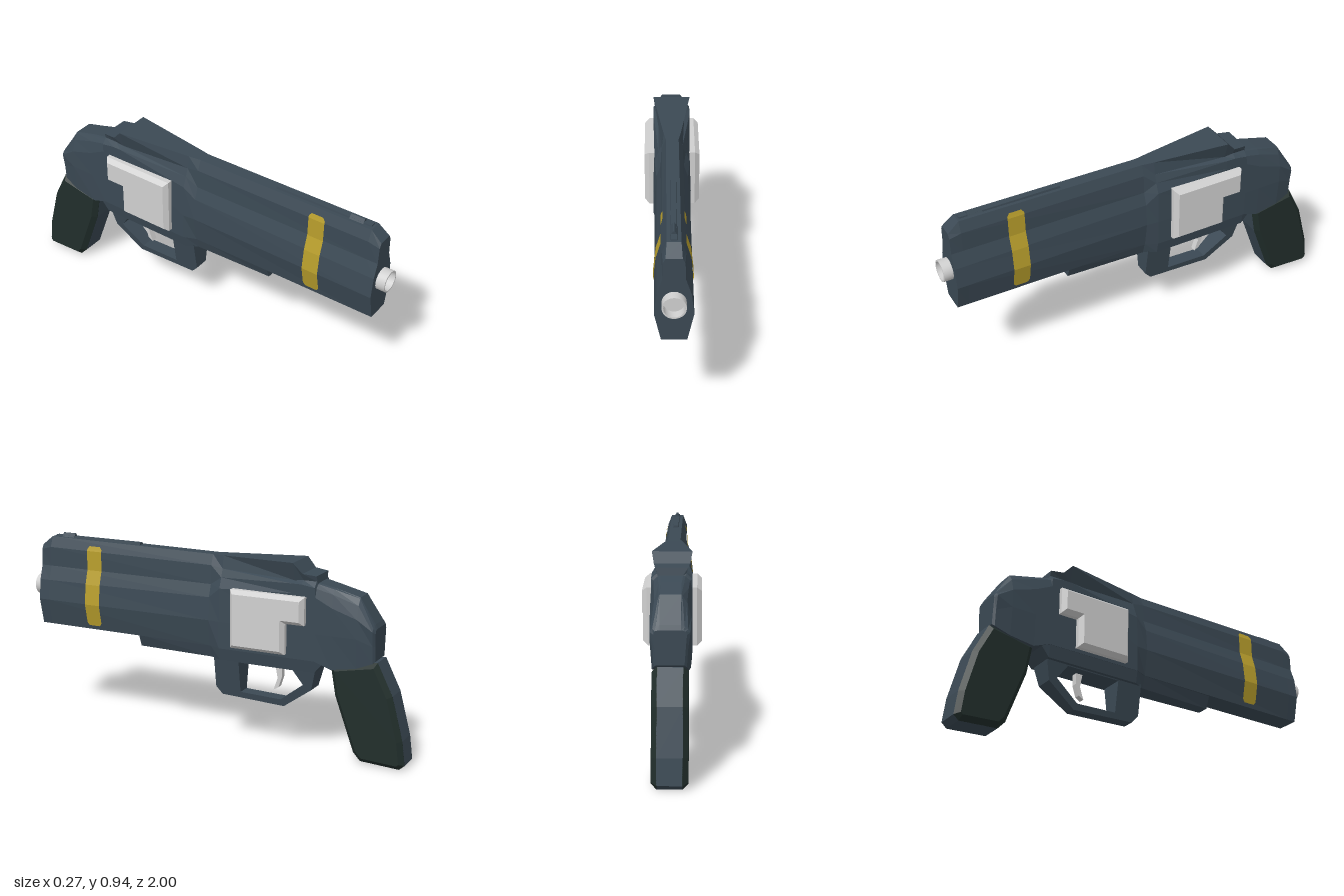
import * as THREE from 'three';
import { toCreasedNormals } from 'three/addons/utils/BufferGeometryUtils.js';

function material(name, color, side = THREE.FrontSide) {
  const m = new THREE.MeshStandardMaterial({ color, side });
  m.name = name;
  return m;
}

// Flat-faced loft: each section is [z, [halfWidth, y] from top to bottom], front to back
function loft(sections) {
  const pos = [];
  const quad = (a, b, c, d) => pos.push(...a, ...b, ...c, ...a, ...c, ...d);
  const rings = sections.map(([z, half]) => [
    ...half.map(([w, y]) => [w, y, z]),
    ...[...half].reverse().map(([w, y]) => [-w, y, z]),
  ]);
  const n = rings[0].length;
  for (let i = 0; i < rings.length - 1; i++) {
    for (let j = 0; j < n; j++) {
      const k = (j + 1) % n;
      quad(rings[i][j], rings[i][k], rings[i + 1][k], rings[i + 1][j]);
    }
  }
  const first = rings[0], last = rings[rings.length - 1];
  for (let j = 0; j < n / 2 - 1; j++) {
    const l = n - 1 - j;
    quad(first[j], first[l], first[l - 1], first[j + 1]);
    quad(last[l], last[j], last[j + 1], last[l - 1]);
  }
  const g = new THREE.BufferGeometry();
  g.setAttribute('position', new THREE.Float32BufferAttribute(pos, 3));
  g.computeVertexNormals();
  return g;
}

// Side profile of [z, y] points extruded across x, centred, with an optional bevel
function sideExtrude(points, halfWidth, bevel = 0, inset = bevel, hole = null) {
  const toVec = ([z, y]) => new THREE.Vector2(-z, y);
  const shape = new THREE.Shape(points.map(toVec));
  if (hole) shape.holes.push(new THREE.Path(hole.map(toVec)));
  const depth = 2 * (halfWidth - bevel);
  const g = new THREE.ExtrudeGeometry(shape, {
    depth, steps: 1, bevelEnabled: bevel > 0, bevelSegments: 1,
    bevelThickness: bevel, bevelSize: inset, bevelOffset: -inset,
  });
  g.translate(0, 0, -depth / 2);
  g.rotateY(Math.PI / 2);
  return g;
}

export function createModel() {
  const group = new THREE.Group();
  const steel = material('blue steel', 0x3b4954);
  const silver = material('silver', 0xd0d0d0);
  const gripGreen = material('dark green grip', 0x212e2b);
  const yellow = material('yellow band', 0xb89e2c, THREE.DoubleSide);
  const add = (name, geometry, mat) => {
    const mesh = new THREE.Mesh(geometry, mat);
    mesh.name = name;
    group.add(mesh);
    return mesh;
  };

  // Barrel, frame, rear sight and rounded back in one continuous body
  const lower = [[0.09, 0.6], [0.09, 0.47]];
  add('body', loft([
    [0.955, [[0.035, 0.872], [0.046, 0.85], [0.049, 0.77], [0.072, 0.70], [0.084, 0.60], [0.055, 0.47]]],
    [0.90, [[0.03, 0.918], [0.05, 0.866], [0.05, 0.77], [0.072, 0.70], [0.084, 0.60], [0.056, 0.47]]],
    [-0.01, [[0.03, 0.91], [0.05, 0.86], [0.055, 0.77], [0.075, 0.71], [0.084, 0.60], [0.065, 0.47]]],
    [-0.07, [[0.04, 0.911], [0.05, 0.85], [0.065, 0.81], [0.084, 0.76], ...lower]],
    [-0.445, [[0.09, 0.92], [0.065, 0.835], [0.09, 0.825], [0.09, 0.78], ...lower]],
    [-0.49, [[0.08, 0.872], [0.065, 0.84], [0.09, 0.825], [0.09, 0.77], ...lower]],
    [-0.555, [[0.072, 0.865], [0.065, 0.84], [0.09, 0.815], [0.09, 0.77], ...lower]],
    [-0.56, [[0.05, 0.832], [0.06, 0.828], [0.08, 0.81], [0.09, 0.77], ...lower]],
    [-0.64, [[0.045, 0.815], [0.055, 0.81], [0.075, 0.79], [0.09, 0.73], [0.09, 0.6], [0.085, 0.44]]],
    [-0.76, [[0.045, 0.785], [0.05, 0.78], [0.07, 0.75], [0.088, 0.69], [0.09, 0.6], [0.08, 0.46]]],
    [-0.835, [[0.045, 0.67], [0.06, 0.665], [0.075, 0.655], [0.085, 0.64], [0.075, 0.57], [0.07, 0.49]]],
    [-0.845, [[0.045, 0.65], [0.055, 0.648], [0.065, 0.645], [0.07, 0.63], [0.065, 0.57], [0.06, 0.5]]],
  ]), steel);

  // Block under the barrel, widening into the frame
  add('underBarrel', loft([
    [0.39, [[0.056, 0.475], [0.03, 0.41]]],
    [-0.01, [[0.064, 0.475], [0.045, 0.41]]],
    [-0.07, [[0.089, 0.475], [0.077, 0.41]]],
    [-0.555, [[0.089, 0.475], [0.077, 0.41]]],
    [-0.60, [[0.085, 0.48], [0.078, 0.465]]],
  ]), steel);

  // Sighting rib and pointed front sight
  add('topRib', loft([
    [0.89, [[0.012, 0.924], [0.016, 0.905]]],
    [0.40, [[0.012, 0.924], [0.016, 0.905]]],
  ]), steel);
  add('frontSight', loft([
    [0.85, [[0.003, 0.937], [0.018, 0.915]]],
    [0.78, [[0.003, 0.937], [0.018, 0.915]]],
  ]), steel);

  // Trigger guard, tapering towards its underside
  const guard = sideExtrude(
    [[-0.03, 0.42], [-0.03, 0.262], [-0.062, 0.225], [-0.385, 0.21], [-0.53, 0.315], [-0.555, 0.42]],
    1, 0, 0,
    [[-0.16, 0.405], [-0.16, 0.25], [-0.37, 0.243], [-0.49, 0.335], [-0.44, 0.405]],
  );
  const p = guard.attributes.position;
  for (let i = 0; i < p.count; i++) {
    p.setX(i, p.getX(i) * (0.028 + 0.16 * (p.getY(i) - 0.21)));
  }
  guard.computeVertexNormals();
  add('triggerGuard', guard, steel);

  add('trigger', sideExtrude(
    [[-0.33, 0.42], [-0.345, 0.34], [-0.325, 0.28], [-0.35, 0.295], [-0.368, 0.35], [-0.368, 0.42]],
    0.015,
  ), silver);

  // Grip core with a bevelled panel on each side
  const grip = [[-0.63, 0.45], [-0.655, 0.31], [-0.75, 0.05], [-0.785, 0.012], [-0.975, 0.002],
    [-1, 0.025], [-0.985, 0.14], [-0.93, 0.345], [-0.855, 0.495]];
  add('gripCore', sideExtrude(grip, 0.055), steel);
  for (const side of [1, -1]) {
    const panel = add('gripPanel', sideExtrude(grip, 0.024, 0.023, 0.022), gripGreen);
    panel.position.x = side * 0.054;
  }

  // Bevelled plates standing out of both sides of the frame
  add('sidePlates', sideExtrude(
    [[-0.14, 0.77], [-0.14, 0.488], [-0.42, 0.488], [-0.42, 0.637], [-0.515, 0.637], [-0.515, 0.77]],
    0.133, 0.022, 0.018,
  ), silver);

  // Hollow muzzle ring
  const muzzle = new THREE.LatheGeometry([
    [0.052, 0], [0.052, 0.055], [0.045, 0.055], [0.045, 0.012], [0, 0.012],
  ].map(([r, y]) => new THREE.Vector2(r, y)), 24);
  muzzle.rotateX(Math.PI / 2);
  muzzle.translate(0, 0.66, 0.945);
  add('muzzle', toCreasedNormals(muzzle, 0.6), silver);

  // Thin painted bands following the barrel sides: [halfWidth, y, half length]
  const rows = [[0.043, 0.89, 0.03], [0.0475, 0.875, 0.041], [0.0505, 0.866, 0.041], [0.052, 0.77, 0.041],
    [0.073, 0.70, 0.041], [0.084, 0.60, 0.041], [0.064, 0.505, 0.041], [0.061, 0.49, 0.03]];
  for (const side of [1, -1]) {
    const pos = [];
    for (let i = 0; i < rows.length - 1; i++) {
      const [a, b] = [rows[i], rows[i + 1]];
      const at = ([w, y, l], end) => [side * (w + 0.004), y, 0.64 + side * end * l];
      pos.push(...at(a, 1), ...at(b, 1), ...at(b, -1), ...at(a, 1), ...at(b, -1), ...at(a, -1));
    }
    const g = new THREE.BufferGeometry();
    g.setAttribute('position', new THREE.Float32BufferAttribute(pos, 3));
    g.computeVertexNormals();
    add('barrelBand', g, yellow);
  }

  return group;
}
